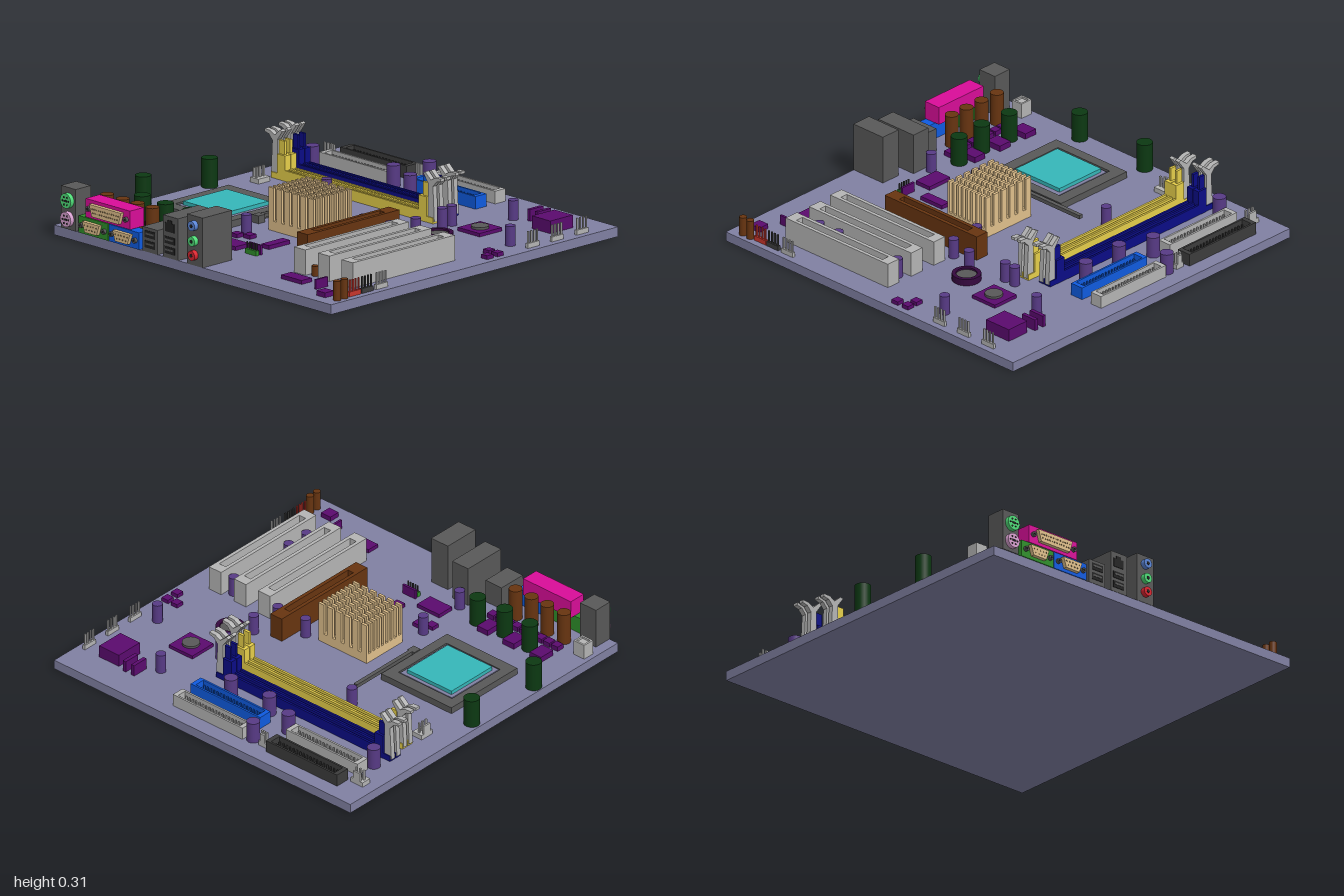
import * as THREE from 'three';

const TOP = 0.05; // upper face of the board
const C = {
  board: 0x8080a2, dark: 0x585858, black: 0x3c3c3c, light: 0xb4b4b4, purple: 0x5a0a6e, violet: 0x573a85,
  green: 0x0c3812, brown: 0x673410, tan: 0xe0c08c, yellow: 0xe6cf4a, navy: 0x0a0c86, blue: 0x0f5be0,
  teal: 0x35b6b8, pink: 0xd80d98, lime: 0x2f8f2a, hole: 0x222222,
};

export function createModel() {
  const root = new THREE.Group();
  const mats = {};
  const mat = (c) => (mats[c] ??= new THREE.MeshStandardMaterial({ color: c }));
  const add = (name, geo, color) => {
    const m = new THREE.Mesh(geo, mat(color));
    m.name = name;
    root.add(m);
    return m;
  };
  // box from its limits
  const box = (name, color, x0, x1, z0, z1, y1, y0 = TOP) => {
    const m = add(name, new THREE.BoxGeometry(x1 - x0, y1 - y0, z1 - z0), color);
    m.position.set((x0 + x1) / 2, (y0 + y1) / 2, (z0 + z1) / 2);
    return m;
  };
  const chip = (name, color, x, z, w, d, y1) => box(name, color, x - w / 2, x + w / 2, z - d / 2, z + d / 2, y1);
  const can = (name, color, x, z, r, y1, y0 = TOP) => {
    const m = add(name, new THREE.CylinderGeometry(r, r, y1 - y0, 24), color);
    m.position.set(x, (y0 + y1) / 2, z);
    return m;
  };
  const rect = (T, x0, x1, a, b) => {
    const p = new T();
    p.moveTo(x0, a); p.lineTo(x1, a); p.lineTo(x1, b); p.lineTo(x0, b); p.closePath();
    return p;
  };
  // upright frame with a rectangular opening and an optional floor
  const tray = (name, color, x0, x1, z0, z1, y1, wx, wz, floor) => {
    const s = rect(THREE.Shape, x0, x1, -z1, -z0);
    s.holes.push(rect(THREE.Path, x0 + wx, x1 - wx, -z1 + wz, -z0 - wz));
    const m = add(name, new THREE.ExtrudeGeometry(s, { depth: y1 - TOP, bevelEnabled: false }), color);
    m.rotation.x = -Math.PI / 2;
    m.position.y = TOP;
    if (floor) box(name + 'Floor', color, x0 + wx, x1 - wx, z0 + wz, z1 - wz, floor);
  };

  box('board', C.board, -0.98, 0.98, -1, 0.97, TOP, 0);

  // processor socket, processor and lever
  tray('socketFrame', C.dark, -0.8, -0.335, -0.055, 0.43, 0.085, 0.055, 0.065);
  box('processorCarrier', C.board, -0.735, -0.395, 0.02, 0.365, 0.08);
  box('processor', C.teal, -0.715, -0.42, 0.04, 0.34, 0.1);
  box('socketLever', C.dark, -0.32, -0.298, -0.215, 0.2, 0.09, 0.07);
  box('leverPivot', C.dark, -0.335, -0.29, 0.19, 0.235, 0.09);

  // heat sink with rows of pins
  box('heatSinkBase', C.tan, -0.185, 0.135, 0.005, 0.27, 0.1);
  for (let i = 0; i < 6; i++)
    for (let j = 0; j < 9; j++) {
      const x = -0.185 + i * 0.0566, z = 0.005 + j * 0.0314;
      box('heatSinkPin', C.tan, x, x + 0.037, z, z + 0.014, 0.27, 0.1);
    }

  // expansion slots
  tray('graphicsSlot', C.brown, 0.26, 0.335, -0.125, 0.505, 0.18, 0.02, 0.08, 0.09);
  for (const [x, z1] of [[0.48, 0.7], [0.64, 0.69], [0.805, 0.69]])
    tray('expansionSlot', C.light, x - 0.04, x + 0.04, -0.01, z1, 0.18, 0.019, 0.055, 0.08);

  // drive connectors with contact pins
  for (const [c, x0, x1, z0, z1] of [
    [C.black, -0.82, -0.35, -0.92, -0.84], [C.light, -0.83, -0.355, -0.78, -0.705],
    [C.light, -0.19, 0.27, -0.915, -0.845], [C.blue, -0.19, 0.27, -0.785, -0.71]]) {
    tray('driveConnector', c, x0, x1, z0, z1, 0.115, 0.025, 0.01, 0.07);
    for (let i = 0; i < 18; i++)
      for (const dz of [-0.012, 0.012])
        chip('driveConnectorPin', c, x0 + 0.045 + i * (x1 - x0 - 0.09) / 17, (z0 + z1) / 2 + dz, 0.008, 0.008, 0.1);
  }

  // memory slots: low walls, end towers and splayed latches
  const latch = new THREE.Shape([[0, 0.06], [0.045, 0.06], [0.035, 0.24], [0.06, 0.268], [0.09, 0.275], [0.09, 0.29],
    [0.05, 0.287], [0.02, 0.27], [-0.02, 0.305], [-0.035, 0.298], [0, 0.25]].map((p) => new THREE.Vector2(...p)));
  const latchGeo = new THREE.ExtrudeGeometry(latch, { depth: 0.026, bevelEnabled: false }).translate(0, 0, -0.013);
  for (const [c, x0, x1, z] of [
    [C.navy, -0.82, 0.24, -0.562], [C.navy, -0.82, 0.24, -0.521],
    [C.yellow, -0.79, 0.265, -0.438], [C.yellow, -0.79, 0.265, -0.397]]) {
    box('memorySlotFloor', c, x0, x1, z - 0.019, z + 0.019, 0.085);
    for (const s of [-1, 1]) {
      chip('memorySlotWall', c, (x0 + x1) / 2, z + s * 0.0135, x1 - x0, 0.011, 0.105);
      const xe = s < 0 ? x0 : x1;
      chip('memorySlotTower', c, xe - s * 0.028, z, 0.056, 0.038, 0.18);
      chip('memorySlotGuide', c, xe - s * 0.02, z, 0.036, 0.014, 0.25);
      chip('memorySlotFoot', c, xe + s * 0.02, z, 0.05, 0.036, 0.08);
      const m = add('memoryLatch', latchGeo, C.light);
      m.position.set(xe + s * 0.005, 0, z);
      if (s < 0) m.rotation.y = Math.PI;
    }
  }

  // capacitors
  for (const [x, z] of [[-0.93, -0.05], [-0.935, 0.4], [-0.69, 0.645], [-0.51, 0.66], [-0.34, 0.65]])
    can('largeCapacitor', C.green, x, z, 0.041, 0.2);
  for (const x of [-0.77, -0.66, -0.555, -0.45]) can('inputCapacitor', C.brown, x, 0.807, 0.034, 0.22);
  for (const [x, z] of [[-0.23, -0.88], [-0.31, -0.71], [-0.83, -0.66], [-0.13, -0.65], [0.115, -0.66]])
    can('capacitor', C.violet, x, z, 0.034, 0.16);
  for (const [x, z] of [[0.525, -0.72], [0.385, -0.435], [0.385, -0.37], [0.84, -0.395], [-0.38, -0.32],
    [0.42, -0.155], [0.385, -0.015], [0.21, -0.005], [0.725, 0.04], [0.725, 0.445], [0.725, 0.575],
    [-0.205, 0.4], [-0.185, 0.69]])
    can('smallCapacitor', C.violet, x, z, 0.026, 0.152);
  for (const [x, z, y] of [[0.94, 0.84, 0.15], [0.94, 0.89, 0.15], [0.555, 0.665, 0.1]])
    can('tinyCapacitor', C.brown, x, z, 0.019, y);

  // chips: x, z, width, depth, top
  for (const [x, z, w, d, y] of [
    [0.77, -0.752, 0.13, 0.155, 0.115], [0.6, -0.8, 0.02, 0.09, 0.11], [0.655, -0.8, 0.02, 0.09, 0.11],
    [0.557, -0.462, 0.155, 0.155, 0.068], [0.865, -0.225, 0.042, 0.042, 0.07], [0.925, -0.225, 0.042, 0.042, 0.07],
    [0.925, -0.155, 0.042, 0.042, 0.07], [0.84, 0.875, 0.062, 0.06, 0.075], [0.55, 0.79, 0.145, 0.07, 0.07],
    [0.73, 0.795, 0.012, 0.08, 0.1], [-0.102, 0.598, 0.145, 0.095, 0.07], [0.045, 0.442, 0.052, 0.145, 0.07],
    [-0.145, 0.435, 0.045, 0.045, 0.07], [-0.205, 0.465, 0.045, 0.045, 0.07], [0.07, 0.605, 0.085, 0.012, 0.1],
    [-0.78, 0.63, 0.075, 0.09, 0.08], [-0.6, 0.63, 0.075, 0.09, 0.08], [-0.425, 0.635, 0.07, 0.09, 0.08]])
    chip('chip', C.purple, x, z, w, d, y);
  for (let i = 0; i < 9; i++) chip('regulator', C.purple, -0.79 + i * 0.053, 0.735, 0.043, 0.043, 0.075);
  can('chipCap', C.dark, 0.56, -0.46, 0.045, 0.08);

  // battery in its round holder
  const ring = new THREE.LatheGeometry([[0.052, 0], [0.073, 0], [0.073, 0.035], [0.052, 0.035], [0.052, 0]]
    .map((p) => new THREE.Vector2(...p)), 32).toNonIndexed();
  ring.computeVertexNormals();
  add('batteryHolder', ring, 0x35083f).position.set(0.51, TOP, -0.225);
  can('battery', C.dark, 0.51, -0.225, 0.053, 0.075);

  // power and fan headers, with pins
  for (const [x, z, w, d] of [[-0.88, -0.815, 0.08, 0.055], [-0.82, -0.29, 0.06, 0.08], [-0.305, -0.88, 0.05, 0.038]]) {
    chip('fanHeader', C.light, x, z, w, d, 0.075);
    for (const t of [-0.3, 0, 0.3])
      chip('fanHeaderPin', C.light, w > d ? x + t * w : x, w > d ? z : z + t * d, 0.01, 0.01, 0.13);
    if (w > d) chip('fanHeaderTab', C.light, x, z - d / 2 + 0.005, w * 0.6, 0.01, 0.12);
    else chip('fanHeaderTab', C.light, x - w / 2 + 0.005, z, 0.01, d * 0.6, 0.12);
  }
  tray('powerHeader', C.light, -0.955, -0.885, 0.75, 0.815, 0.13, 0.01, 0.01, 0.12);
  for (const [z, c] of [[-0.79, C.light], [-0.62, C.light], [-0.455, C.light], [0.585, C.light], [0.685, C.black], [0.77, 0xc8352c]]) {
    chip('edgeHeader', c, 0.937, z, 0.016, 0.08, 0.075);
    for (let i = 0; i < 4; i++) chip('edgeHeaderPin', c, 0.937, z - 0.03 + i * 0.02, 0.008, 0.008, 0.135);
  }
  chip('greenHeader', C.lime, 0.07, 0.63, 0.08, 0.02, 0.075);
  for (let i = 0; i < 5; i++) chip('greenHeaderPin', C.black, 0.038 + i * 0.016, 0.63, 0.006, 0.006, 0.11);

  // round sockets that face the front
  const jack = (name, color, x, y, r, z1) => {
    const m = add(name, new THREE.CylinderGeometry(r, r, z1 - 0.96, 28), color);
    m.rotation.x = Math.PI / 2;
    m.position.set(x, y, (z1 + 0.96) / 2);
    return m;
  };
  box('keyboardMousePort', C.dark, -0.925, -0.82, 0.87, 0.975, 0.265);
  for (const [y, c] of [[0.2, 0x4fdc78], [0.105, 0xd8a0d0]]) {
    jack('roundPort', c, -0.87, y, 0.038, 0.997);
    for (let i = 0; i < 6; i++) {
      const a = (i / 6) * Math.PI * 2;
      jack('roundPortHole', C.hole, -0.87 + Math.cos(a) * 0.022, y + Math.sin(a) * 0.022, 0.005, 0.999);
    }
    box('roundPortKey', C.hole, -0.88, -0.86, 0.99, 0.999, y + 0.005, y - 0.005);
  }
  box('audioTower', C.dark, -0.035, 0.075, 0.77, 0.972, 0.305);
  for (const [y, c] of [[0.257, 0x5b86d8], [0.178, 0x4fdc78], [0.105, 0xdc2430]]) {
    jack('audioJack', c, 0.018, y, 0.025, 0.997);
    jack('audioJackHole', C.hole, 0.018, y, 0.009, 0.999);
  }

  // network and serial bus ports
  box('networkPort', C.dark, -0.205, -0.1, 0.73, 0.972, 0.265);
  box('networkOpening', C.hole, -0.19, -0.125, 0.96, 0.975, 0.23, 0.185);
  box('networkNotch', C.hole, -0.173, -0.142, 0.96, 0.975, 0.245, 0.23);
  box('busPort', C.dark, -0.35, -0.245, 0.815, 0.972, 0.175);
  for (const [x, y] of [[-0.157, 0.142], [-0.157, 0.09], [-0.297, 0.142], [-0.297, 0.09]]) {
    box('busOpening', C.hole, x - 0.036, x + 0.036, 0.96, 0.975, y + 0.018, y - 0.018);
    box('busTongue', C.dark, x - 0.028, x + 0.028, 0.96, 0.977, y + 0.008, y - 0.002);
  }

  // D-shaped ports with screw posts and two rows of contacts
  const dPort = (name, color, x0, x1, y0, y1, z0, n) => {
    const cx = (x0 + x1) / 2, cy = (y0 + y1) / 2, w = (x1 - x0) / 2 - 0.045, h = (y1 - y0) / 2 - 0.017;
    box(name, color, x0, x1, z0, 0.975, y1, y0);
    const s = new THREE.Shape([[-w + 0.018, -h], [w - 0.018, -h], [w, h], [-w, h]].map((p) => new THREE.Vector2(...p)));
    add(name + 'Shell', new THREE.ExtrudeGeometry(s, { depth: 0.03, bevelEnabled: false }), C.tan).position.set(cx, cy, 0.965);
    for (let r = 0; r < 2; r++)
      for (let i = 0; i < n - r; i++) {
        const x = cx + (i - (n - r - 1) / 2) * (2 * w - 0.04) / (n - 1), y = cy + (r ? -0.01 : 0.01);
        box(name + 'Contact', 0x8a7550, x - 0.003, x + 0.003, 0.99, 0.998, y + 0.003, y - 0.003);
      }
    for (const x of [x0 + 0.025, x1 - 0.025]) {
      jack(name + 'Post', C.dark, x, cy, 0.013, 0.99);
      jack(name + 'PostHole', C.hole, x, cy, 0.006, 0.992);
    }
  };
  dPort('parallelPort', C.pink, -0.75, -0.435, 0.14, 0.235, 0.88, 13);
  dPort('leftSerialPort', C.lime, -0.8, -0.59, TOP, 0.137, 0.91, 5);
  dPort('rightSerialPort', C.blue, -0.585, -0.372, TOP, 0.137, 0.91, 5);

  return root;
}
